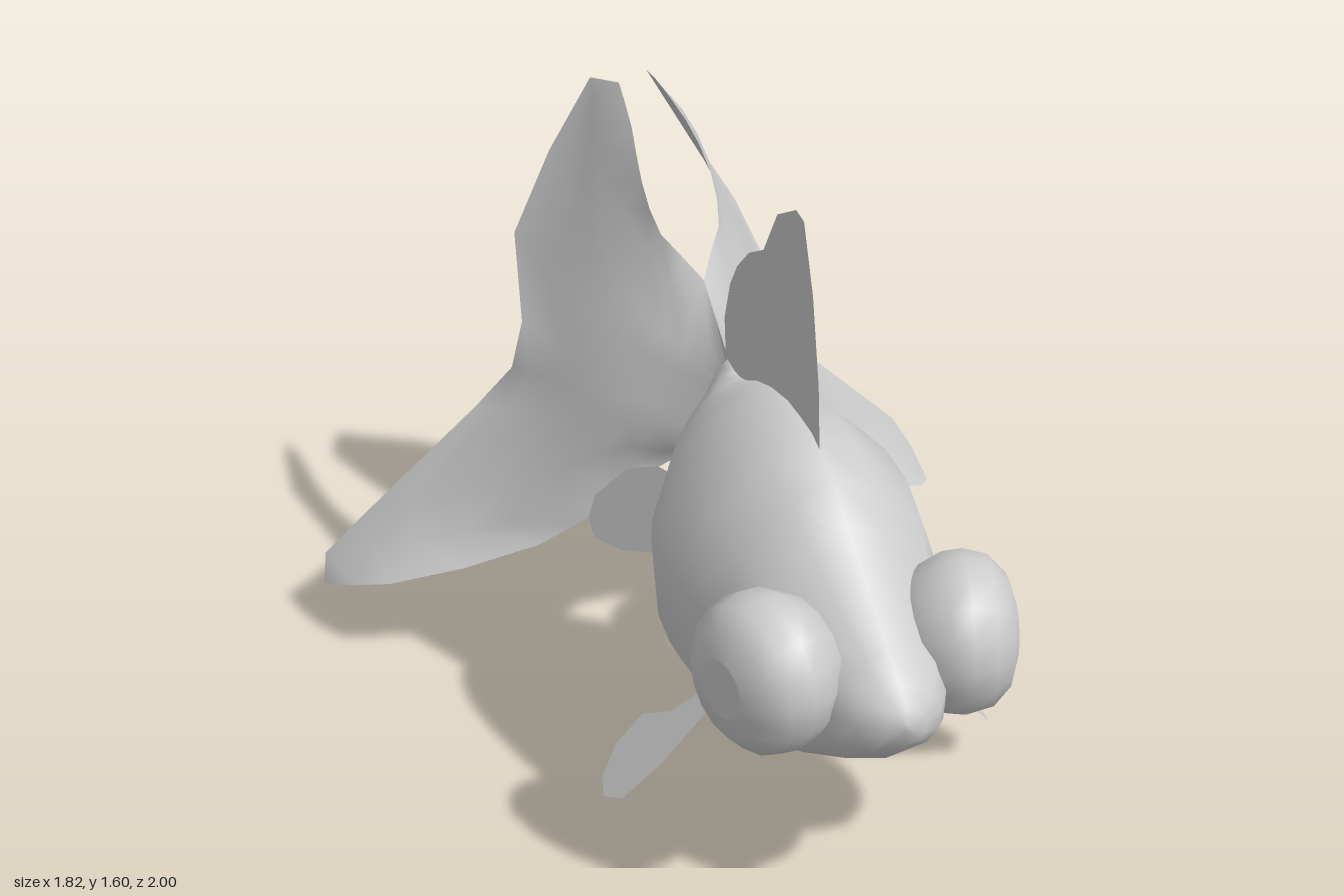
import * as THREE from 'three';

const skin = new THREE.MeshStandardMaterial({ color: 0xcccccc });
const finSkin = new THREE.MeshStandardMaterial({ color: 0xcccccc, side: THREE.DoubleSide });

// Smooth skin over rows of points of equal length
function gridGeometry(rows) {
  const n = rows[0].length, index = [];
  for (let i = 0; i < rows.length - 1; i++) {
    for (let j = 0; j < n - 1; j++) {
      const a = i * n + j, b = a + 1, c = a + n, d = c + 1;
      index.push(a, b, c, b, d, c);
    }
  }
  const g = new THREE.BufferGeometry();
  g.setAttribute('position', new THREE.Float32BufferAttribute(rows.flat(2), 3));
  g.setIndex(index);
  g.computeVertexNormals();
  return g;
}

function addMesh(parent, name, geometry, material) {
  const mesh = new THREE.Mesh(geometry, material);
  mesh.name = name;
  parent.add(mesh);
  return mesh;
}

// Thin fin: outline in (z, y), with x given by a rule
function finGeometry(outline, xRule) {
  const g = new THREE.ShapeGeometry(new THREE.Shape(outline.map(([z, y]) => new THREE.Vector2(z, y))));
  const p = g.attributes.position;
  for (let i = 0; i < p.count; i++) {
    const z = p.getX(i), y = p.getY(i);
    p.setXYZ(i, xRule(z, y), y, z);
  }
  g.computeVertexNormals();
  return g;
}

// Body: cross-sections [z, half width, bottom, top] from nose to tail root
const sections = [
  [1.0, 0, 0.57, 0.58], [0.99, 0.055, 0.52, 0.62], [0.95, 0.11, 0.475, 0.665],
  [0.88, 0.155, 0.42, 0.72], [0.72, 0.22, 0.335, 0.84], [0.62, 0.262, 0.3, 0.92],
  [0.53, 0.295, 0.27, 1.005], [0.4, 0.32, 0.235, 1.06], [0.32, 0.327, 0.225, 1.07],
  [0.24, 0.33, 0.235, 1.075], [0.13, 0.32, 0.265, 1.06], [0.04, 0.285, 0.295, 1.035],
  [-0.04, 0.225, 0.43, 1.0], [-0.08, 0.165, 0.63, 0.99], [-0.12, 0.105, 0.72, 0.99],
  [-0.17, 0.06, 0.71, 1.0], [-0.2, 0.03, 0.76, 0.93], [-0.21, 0, 0.84, 0.85],
];
const half = [[0, 1], [0.37, 0.87], [0.8, 0.56], [1, 0.08], [0.95, -0.48], [0.67, -0.84], [0, -1]];
const ring = [...half, ...half.slice(1).reverse().map(([x, y]) => [-x, y]).slice(1)];

function bodyGeometry() {
  const n = ring.length;
  const points = sections.flatMap(([z, w, lo, hi]) =>
    ring.flatMap(([x, y]) => [x * w, (lo + hi) / 2 + y * (hi - lo) / 2, z]));
  const index = [];
  for (let i = 0; i < sections.length - 1; i++) {
    for (let j = 0; j < n; j++) {
      const k = (j + 1) % n, a = i * n + j, b = i * n + k, c = a + n, d = b + n;
      index.push(a, b, c, b, d, c);
    }
  }
  const g = new THREE.BufferGeometry();
  g.setAttribute('position', new THREE.Float32BufferAttribute(points, 3));
  g.setIndex(index);
  g.computeVertexNormals();
  return g;
}

// Tail: rays fanning from the root to the trailing edge, upper to lower, flaring outwards early
const tailRays = [
  [[0, 1, -0.16], [0, 1.15, -0.34], [0.08, 1.25, -0.44], [0.095, 1.36, -0.54], [0.075, 1.46, -0.67], [0.05, 1.52, -0.84]],
  [[0, 0.97, -0.17], [0.06, 1.1, -0.34], [0.135, 1.27, -0.58], [0.135, 1.4, -0.8], [0.08, 1.485, -0.99]],
  [[0, 0.93, -0.18], [0.12, 1.03, -0.36], [0.2, 1.14, -0.6], [0.2, 1.29, -0.995]],
  [[0, 0.9, -0.18], [0.18, 0.97, -0.4], [0.27, 1.03, -0.64], [0.32, 1.085, -0.95]],
  [[0, 0.87, -0.18], [0.22, 0.89, -0.42], [0.365, 0.91, -0.76]],
  [[0, 0.84, -0.18], [0.24, 0.82, -0.42], [0.41, 0.8, -0.72]],
  [[0, 0.8, -0.18], [0.25, 0.75, -0.41], [0.48, 0.64, -0.84]],
  [[0, 0.77, -0.18], [0.22, 0.68, -0.38], [0.46, 0.51, -0.6], [0.79, 0.34, -0.9]],
  [[0, 0.73, -0.18], [0.14, 0.68, -0.32], [0.36, 0.48, -0.48], [0.63, 0.33, -0.71], [0.89, 0.19, -0.985]],
  [[0, 0.7, -0.17], [0.07, 0.69, -0.29], [0.25, 0.54, -0.37], [0.42, 0.37, -0.5], [0.79, 0.23, -0.68], [0.91, 0.12, -0.94]],
];
function tailGeometry(s) {
  const rows = tailRays.map((ray) =>
    new THREE.CatmullRomCurve3(ray.map((p) => new THREE.Vector3(...p)))
      .getPoints(10).map((p) => [s * Math.max(0, p.x), p.y, p.z]));
  return gridGeometry(rows);
}

const dorsal = [[0.44, 0.98], [0.45, 1.03], [0.44, 1.2], [0.4, 1.42], [0.34, 1.59], [0.29, 1.6], [0.17, 1.54],
  [0.08, 1.41], [-0.02, 1.36], [-0.1, 1.29], [-0.15, 1.22], [-0.19, 1.11], [-0.18, 0.97], [0.1, 0.95]];
const pectoral = [[0.455, 0.38], [0.38, 0.38], [0.33, 0.31], [0.24, 0.26], [0.23, 0.18], [0.27, 0.12],
  [0.33, 0.1], [0.4, 0.13], [0.44, 0.24]];
const pelvic = [[0.22, 0.26], [0.12, 0.14], [0, 0.07], [-0.12, 0.01], [-0.2, 0.0], [-0.25, 0.05],
  [-0.26, 0.13], [-0.22, 0.26], [-0.15, 0.35], [-0.07, 0.385], [0.03, 0.37], [0.12, 0.32]];
const rear = [[-0.05, 0.65], [-0.07, 0.54], [-0.15, 0.47], [-0.28, 0.435], [-0.35, 0.45], [-0.37, 0.5],
  [-0.36, 0.57], [-0.29, 0.67], [-0.22, 0.7], [-0.15, 0.68]];

// Bulging eye, turned about its axis, and its flat pupil
const eyeProfile = [[0, -0.16], [0.09, -0.15], [0.16, -0.1], [0.197, -0.03], [0.203, 0.02], [0.187, 0.08],
  [0.14, 0.125], [0.075, 0.145]].map(([r, h]) => new THREE.Vector2(r, h));

function addEye(parent, s, side) {
  const eye = new THREE.Group();
  eye.name = side + 'Eye';
  eye.position.set(s * 0.242, 0.635, 0.732);
  eye.rotation.y = -s * 0.3;
  const ball = addMesh(eye, side + 'Eyeball', new THREE.LatheGeometry(eyeProfile, 16), skin);
  const pupil = addMesh(eye, side + 'Pupil', new THREE.CircleGeometry(0.075, 16), skin);
  ball.rotation.z = -s * Math.PI / 2;
  pupil.rotation.y = s * Math.PI / 2;
  pupil.position.x = s * 0.145;
  parent.add(eye);
}

export function createModel() {
  const fish = new THREE.Group();
  fish.name = 'fish';
  addMesh(fish, 'body', bodyGeometry(), skin);
  addMesh(fish, 'dorsalFin', finGeometry(dorsal, () => 0), finSkin);

  // Paired parts
  for (const [s, side] of [[1, 'left'], [-1, 'right']]) {
    addEye(fish, s, side);
    addMesh(fish, side + 'Tail', tailGeometry(s), finSkin);
    addMesh(fish, side + 'PectoralFin', finGeometry(pectoral, (z, y) => s * (0.295 + (0.37 - y) * 0.86)), finSkin);
    addMesh(fish, side + 'PelvicFin', finGeometry(pelvic, () => s * 0.07), finSkin);
    addMesh(fish, side + 'RearFin',
      finGeometry(rear, (z, y) => s * (0.1 + (-0.1 - z) * 0.78 + (0.57 - y) * 0.13)), finSkin);
  }
  return fish;
}
